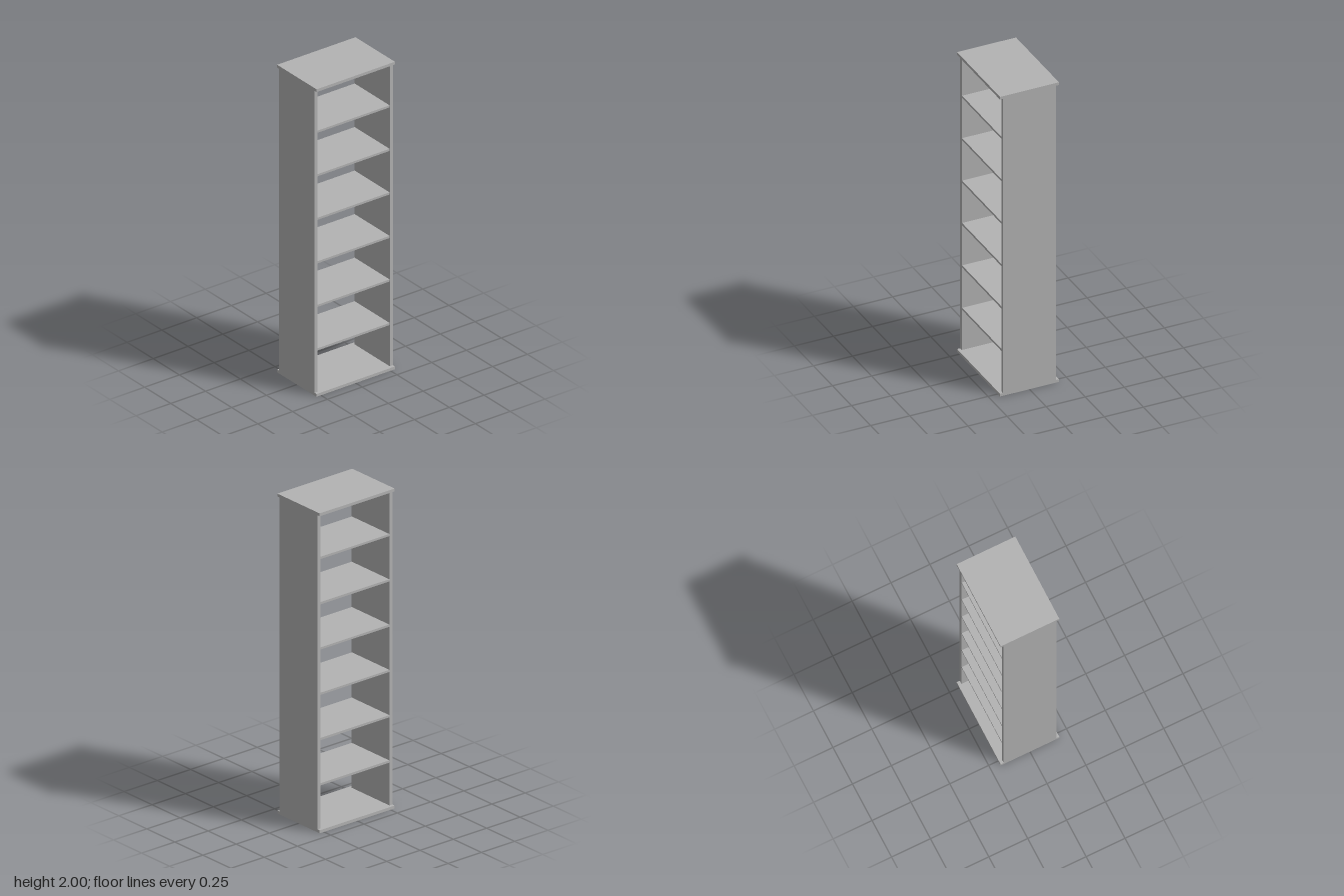
import * as THREE from 'three';

export function createModel() {
  const model = new THREE.Group();
  model.name = 'bookcase';
  const grey = new THREE.MeshStandardMaterial({ color: 0xb3b3b3 });
  grey.name = 'grey board';

  const W = 0.563, H = 2, D = 0.377;
  const plate = 0.018, side = 0.022, shelf = 0.014, sideDepth = 0.338;

  const board = (name, w, h, d, x, y) => {
    const mesh = new THREE.Mesh(new THREE.BoxGeometry(w, h, d), grey);
    mesh.name = name;
    mesh.position.set(x, y, 0);
    model.add(mesh);
  };

  // Overhanging top and base boards
  board('base', W, plate, D, 0, plate / 2);
  board('top', W, plate, D, 0, H - plate / 2);

  // Upright side panels
  for (const [name, s] of [['leftSide', 1], ['rightSide', -1]])
    board(name, side, H - 2 * plate, sideDepth, s * (W - side) / 2, H / 2);

  // Six evenly spaced shelves between the sides
  const pitch = (H - plate) / 7;
  for (let i = 1; i <= 6; i++)
    board('shelf' + i, W - 2 * side, shelf, sideDepth - 0.004, 0, plate / 2 + i * pitch);

  return model;
}
